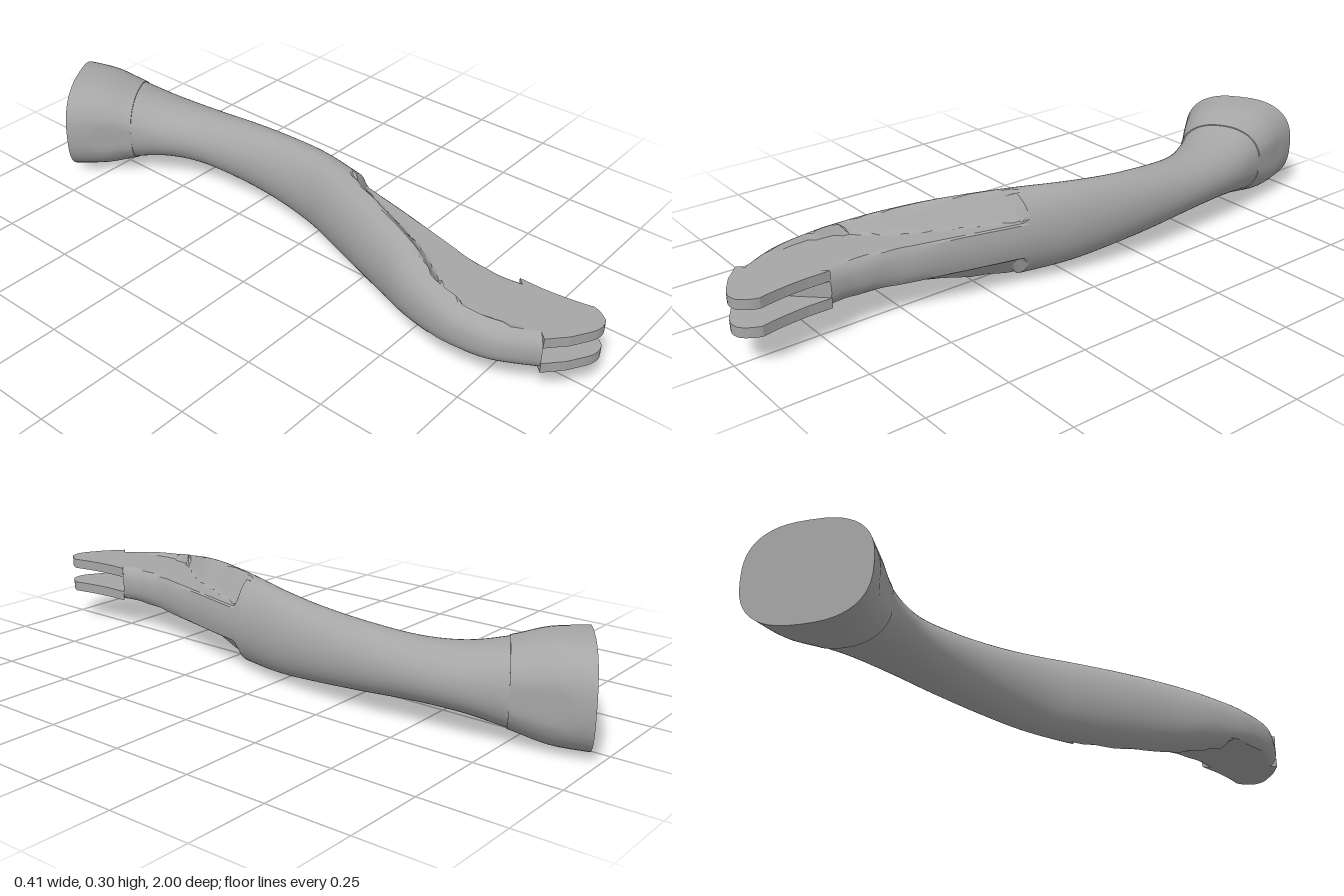
import * as THREE from 'three';
import { toCreasedNormals } from 'three/addons/utils/BufferGeometryUtils.js';

const MID = 0.15;    // height of the centre plane
const FLAT = 0.055;  // half thickness of the flattened tongue
const SIDES = 48;

// Slanted stations from butt to slot: left x, left z, right x, right z, half height, roundness
const stations = [
  [-0.20, -0.815, 0.10, -1.00, 0.146, 2.6],
  [-0.13, -0.73, 0.13, -0.90, 0.140, 2.5],
  [-0.07, -0.655, 0.155, -0.79, 0.114, 2.3],
  [-0.02, -0.56, 0.18, -0.66, 0.092, 2.1],
  [0.02, -0.45, 0.195, -0.50, 0.088, 2],
  [0.04, -0.30, 0.20, -0.33, 0.098, 2],
  [0.04, -0.15, 0.195, -0.17, 0.110, 2],
  [0.02, 0.00, 0.18, -0.03, 0.123, 2],
  [-0.02, 0.12, 0.155, 0.10, 0.130, 2],
  [-0.07, 0.25, 0.13, 0.22, 0.132, 2],
  [-0.12, 0.38, 0.10, 0.35, 0.127, 2.1],
  [-0.17, 0.50, 0.075, 0.46, 0.112, 2.2],
  [-0.20, 0.62, 0.052, 0.55, 0.094, 2.4],
  [-0.205, 0.70, 0.045, 0.62, 0.084, 2.5],
  [-0.19, 0.80, 0.042, 0.67, 0.076, 2.6],
  [-0.13, 0.91, 0.045, 0.73, 0.075, 2.6]
];

// Left border of the flat cut: z, x
const cutLine = [[0.2, 0.10], [0.42, 0], [0.5, -0.05], [0.62, -0.14], [0.7, -0.155],
  [0.8, -0.145], [0.88, -0.12], [0.94, -0.08]];

function cutX(z) {
  for (let i = 1; i < cutLine.length; i++) {
    const [z0, x0] = cutLine[i - 1], [z1, x1] = cutLine[i];
    if (z <= z1) return x0 + (x1 - x0) * (z - z0) / (z1 - z0);
  }
  return -0.08;
}

// Smooth interpolation between stations
function stationAt(t) {
  const i = Math.min(Math.floor(t), stations.length - 2), f = t - i;
  const get = (k) => stations[Math.max(0, Math.min(stations.length - 1, k))];
  return get(i).map((p1, k) => {
    const p0 = get(i - 1)[k], p2 = get(i + 1)[k], p3 = get(i + 2)[k];
    return p1 + 0.5 * f * (p2 - p0 + f * (2 * p0 - 5 * p1 + 4 * p2 - p3
      + f * (3 * (p1 - p2) + p3 - p0)));
  });
}

// One closed cross-section, trimmed to the flat cut above and below
function ring(t, swell, tab) {
  const [lx, lz, rx, rz, h, n] = stationAt(t);
  const points = [];
  for (let j = 0; j < SIDES; j++) {
    const a = (j / SIDES) * Math.PI * 2, c = Math.cos(a), s = Math.sin(a);
    // The butt leaves a sunken tab on each side
    const grow = 1 + (tab && Math.abs(s) < 0.25 ? 0 : swell);
    const u = Math.sign(c) * Math.abs(c) ** (2 / n) * grow;
    let v = Math.sign(s) * Math.abs(s) ** (2 / n) * h * grow;
    const x = (lx + rx) / 2 + u * (rx - lx) / 2;
    const z = (lz + rz) / 2 + u * (rz - lz) / 2;
    if (z > 0.15) {
      // Gentle slope at the start of the cut, steep rim beside the tongue
      const slope = z > 0.6 ? 6 : 1.2;
      const border = v < 0 && z > 0.6 ? -0.3 : cutX(z);
      const limit = FLAT + slope * Math.max(0, border - x);
      v = Math.max(-limit, Math.min(limit, v));
    }
    points.push([x, MID + v, z]);
  }
  return points;
}

function loft(rings, capBack, capFront) {
  const positions = rings.flat(2), index = [];
  const at = (i, j) => i * SIDES + (j % SIDES);
  for (let i = 0; i < rings.length - 1; i++) {
    for (let j = 0; j < SIDES; j++) {
      const a = at(i, j), b = at(i, j + 1), c = at(i + 1, j + 1), d = at(i + 1, j);
      index.push(a, b, c, a, c, d);
    }
  }
  const cap = (i, front) => {
    const centre = positions.length / 3;
    const p = rings[i][0], q = rings[i][SIDES / 2];
    positions.push((p[0] + q[0]) / 2, MID, (p[2] + q[2]) / 2);
    for (let j = 0; j < SIDES; j++) {
      if (front) index.push(centre, at(i, j), at(i, j + 1));
      else index.push(centre, at(i, j + 1), at(i, j));
    }
  };
  if (capBack) cap(0, false);
  if (capFront) cap(rings.length - 1, true);
  const geometry = new THREE.BufferGeometry();
  geometry.setAttribute('position', new THREE.Float32BufferAttribute(positions, 3));
  geometry.setIndex(index);
  return toCreasedNormals(geometry, 0.4);
}

export function createModel() {
  const group = new THREE.Group();
  const grey = new THREE.MeshStandardMaterial({ color: 0xa6a6a6 });
  const add = (name, geometry) => {
    const mesh = new THREE.Mesh(geometry, grey);
    grey.name = 'grey';
    mesh.name = name;
    group.add(mesh);
    return mesh;
  };

  // Flared butt, standing slightly proud of the grip
  const buttRings = [];
  for (let i = 0; i <= 10; i++) buttRings.push(ring(i / 5, 0.025, i > 3));
  buttRings.push(ring(2, 0, false));
  add('butt', loft(buttRings, true, false));

  // Curved grip, running into the flattened tongue
  const gripRings = [];
  const steps = 78;
  for (let i = 0; i <= steps; i++) gripRings.push(ring(2 + 13 * i / steps, 0, false));
  add('grip', loft(gripRings, false, true));

  // Two prongs with a slot between them
  const outline = new THREE.Shape();
  outline.moveTo(0.045, 0.73);
  outline.lineTo(0.045, 0.8);
  outline.quadraticCurveTo(0.05, 0.88, 0.065, 0.94);
  outline.quadraticCurveTo(0.06, 0.965, 0.035, 0.99);
  outline.quadraticCurveTo(0.005, 1.005, -0.03, 0.985);
  outline.lineTo(-0.08, 0.955);
  outline.lineTo(-0.13, 0.91);
  const thickness = 0.03;
  const prong = new THREE.ExtrudeGeometry(outline, { depth: thickness, bevelEnabled: false, curveSegments: 5 });
  prong.rotateX(Math.PI / 2);
  add('upperProng', prong).position.y = MID + FLAT;
  add('lowerProng', prong).position.y = MID - FLAT + thickness;

  return group;
}
